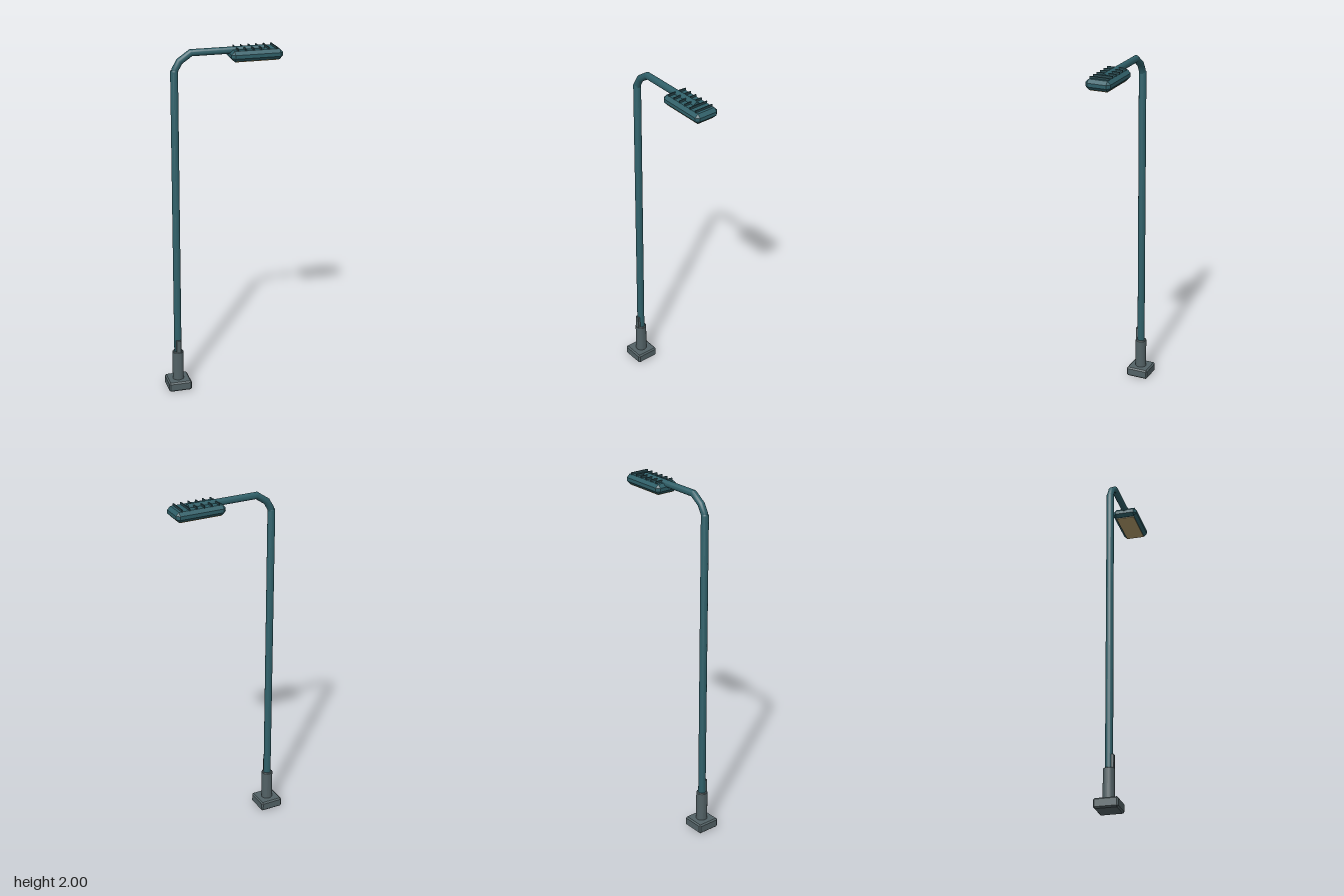
import * as THREE from 'three';
import { ConvexGeometry } from 'three/addons/geometries/ConvexGeometry.js';
import { toCreasedNormals } from 'three/addons/utils/BufferGeometryUtils.js';

const POLE_X = -0.262;
const teal = new THREE.MeshStandardMaterial({ color: 0x2f5f68 });
const darkTeal = new THREE.MeshStandardMaterial({ color: 0x29494f });
const grey = new THREE.MeshStandardMaterial({ color: 0x536266 });
const warm = new THREE.MeshStandardMaterial({ color: 0xb59d6c });

// Box with every edge cut by a flat chamfer c
function chamferBox(w, h, d, c) {
  const points = [];
  for (const sx of [-1, 1]) for (const sy of [-1, 1]) for (const sz of [-1, 1]) {
    const [x, y, z] = [w / 2, h / 2, d / 2];
    points.push(
      new THREE.Vector3(sx * x, sy * (y - c), sz * (z - c)),
      new THREE.Vector3(sx * (x - c), sy * y, sz * (z - c)),
      new THREE.Vector3(sx * (x - c), sy * (y - c), sz * z));
  }
  return new ConvexGeometry(points);
}

// Turned part from [radius, height] pairs, with crisp edges
function turned(profile, sides) {
  const pts = profile.map(([r, y]) => new THREE.Vector2(r, y));
  return toCreasedNormals(new THREE.LatheGeometry(pts, sides), 0.5);
}

// Mitred pipe along a polyline in the xy plane, capped at both ends
function pipe(path, radius, sides) {
  const pts = path.map(([x, y]) => new THREE.Vector2(x, y));
  const pos = [], index = [];
  pts.forEach((p, i) => {
    const a = pts[Math.max(i - 1, 0)], b = pts[Math.min(i + 1, pts.length - 1)];
    const before = i ? p.clone().sub(a).normalize() : b.clone().sub(p).normalize();
    const after = i < pts.length - 1 ? b.clone().sub(p).normalize() : before;
    const t = before.clone().add(after).normalize();
    const r = radius / t.dot(before);
    for (let j = 0; j < sides; j++) {
      const q = (j / sides) * Math.PI * 2;
      pos.push(p.x - t.y * r * Math.cos(q), p.y + t.x * r * Math.cos(q), radius * Math.sin(q));
      if (i) {
        const k = (j + 1) % sides, u = (i - 1) * sides, v = i * sides;
        index.push(u + j, u + k, v + j, u + k, v + k, v + j);
      }
    }
  });
  const last = (pts.length - 1) * sides;
  for (let j = 1; j < sides - 1; j++) {
    index.push(0, j + 1, j, last, last + j, last + j + 1);
  }
  const g = new THREE.BufferGeometry();
  g.setAttribute('position', new THREE.Float32BufferAttribute(pos, 3));
  g.setIndex(index);
  return toCreasedNormals(g, 0.5);
}

export function createModel() {
  const model = new THREE.Group();
  model.name = 'streetLamp';
  const add = (name, geometry, material, x, y, z = 0, parent = model) => {
    const mesh = new THREE.Mesh(geometry, material);
    mesh.name = name;
    mesh.position.set(x, y, z);
    parent.add(mesh);
    return mesh;
  };

  // Footing, collar and pole
  add('basePlate', chamferBox(0.133, 0.056, 0.133, 0.008), grey, POLE_X, 0.028);
  add('collar', turned([[0, 0.05], [0.032, 0.05], [0.032, 0.226], [0.028, 0.23], [0, 0.23]], 20), grey, POLE_X, 0);
  add('pole', turned([[0, 0.2], [0.021, 0.2], [0.021, 1.886], [0.018, 1.892], [0, 1.892]], 20), teal, POLE_X, 0);
  add('accessHatch', chamferBox(0.028, 0.09, 0.016, 0.002), grey, POLE_X, 0.26, 0.021);

  // Bent arm running into the lamp head
  const bend = [[-0.262, 1.87], [-0.257, 1.895], [-0.232, 1.938], [-0.17, 1.981], [0.235, 1.981]];
  add('arm', pipe(bend, 0.019, 20), teal, 0, 0);

  // Lamp head with lens below and cooling fins on top
  const head = new THREE.Group();
  head.name = 'lampHead';
  model.add(head);
  add('housing', chamferBox(0.287, 0.056, 0.143, 0.018), teal, 0.1835, 1.957, 0, head);
  add('lens', new THREE.BoxGeometry(0.245, 0.01, 0.104), warm, 0.1835, 1.93, 0, head);
  for (let i = 0; i < 6; i++) {
    add('coolingFin', new THREE.BoxGeometry(0.006, 0.02, 0.11), darkTeal, 0.078 + i * 0.0426, 1.986, 0, head);
  }
  return model;
}
